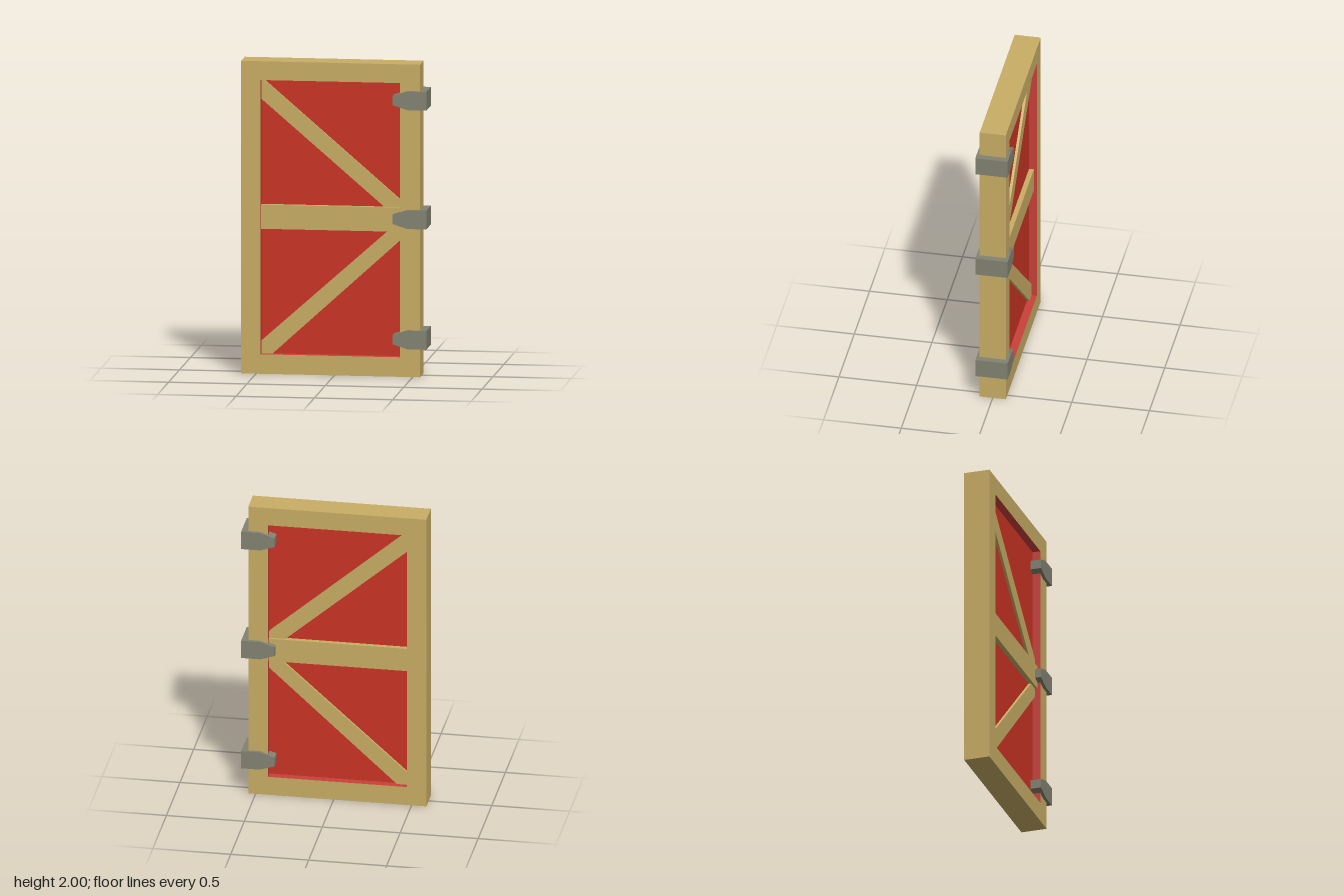
import * as THREE from 'three';

const mat = (name, color) => {
  const m = new THREE.MeshStandardMaterial({ color });
  m.name = name;
  return m;
};

// Straight extrusion of an outline, centred on z = 0
function prism(name, outline, halfDepth, material, hole) {
  const toVec = (p) => new THREE.Vector2(p[0], p[1]);
  const shape = new THREE.Shape(outline.map(toVec));
  if (hole) shape.holes.push(new THREE.Path(hole.map(toVec)));
  const geo = new THREE.ExtrudeGeometry(shape, { depth: halfDepth * 2, bevelEnabled: false });
  geo.translate(0, 0, -halfDepth);
  const mesh = new THREE.Mesh(geo, material);
  mesh.name = name;
  return mesh;
}

const rect = (x0, y0, x1, y1) => [[x0, y0], [x1, y0], [x1, y1], [x0, y1]];

export function createModel() {
  const wood = mat('tan wood', 0xc8ad64);
  const red = mat('red panel', 0xca3323);
  const lining = mat('lining red', 0xc9403a);
  const iron = mat('grey iron', 0x828272);

  const door = new THREE.Group();
  door.name = 'door';

  // Opening of the frame
  const L = -0.47, R = 0.42, B = 0.125, T = 1.88, t = 0.003;
  const depth = 0.084;

  // Outer frame and the painted inner walls of its opening
  const opening = rect(L - t, B - t, R + t, T + t);
  door.add(prism('frame', rect(-0.595, 0, 0.547, 2), depth, wood, opening));
  door.add(prism('openingLining', opening, depth, [wood, lining], rect(L, B, R, T)));

  // Recessed panel
  door.add(prism('panel', rect(L, B, R, T), 0.033, red));

  // Middle rail and the two diagonal braces, showing on both sides
  door.add(prism('middleRail', rect(L, 0.925, R, 1.08), 0.065, wood));
  door.add(prism('upperBrace', [
    [L, 1.755], [0.315, 1.08], [R, 1.08], [R, 1.125], [-0.455, T], [L, T],
  ], 0.05, wood));
  door.add(prism('lowerBrace', [
    [L, B], [-0.4, B], [R, 0.872], [R, 0.925], [0.335, 0.925], [L, 0.208],
  ], 0.05, wood));

  // Hinges: tapered blocks wrapped around the frame edge
  const hinge = [
    [0.375, -0.03], [0.47, -0.06], [0.59, -0.06],
    [0.59, 0.06], [0.47, 0.06], [0.375, 0.03],
  ];
  [['lowerHinge', 0.24], ['middleHinge', 1.01], ['upperHinge', 1.77]].forEach(([name, y]) => {
    const mesh = prism(name, hinge, 0.104, iron);
    mesh.position.y = y;
    door.add(mesh);
  });

  return door;
}
